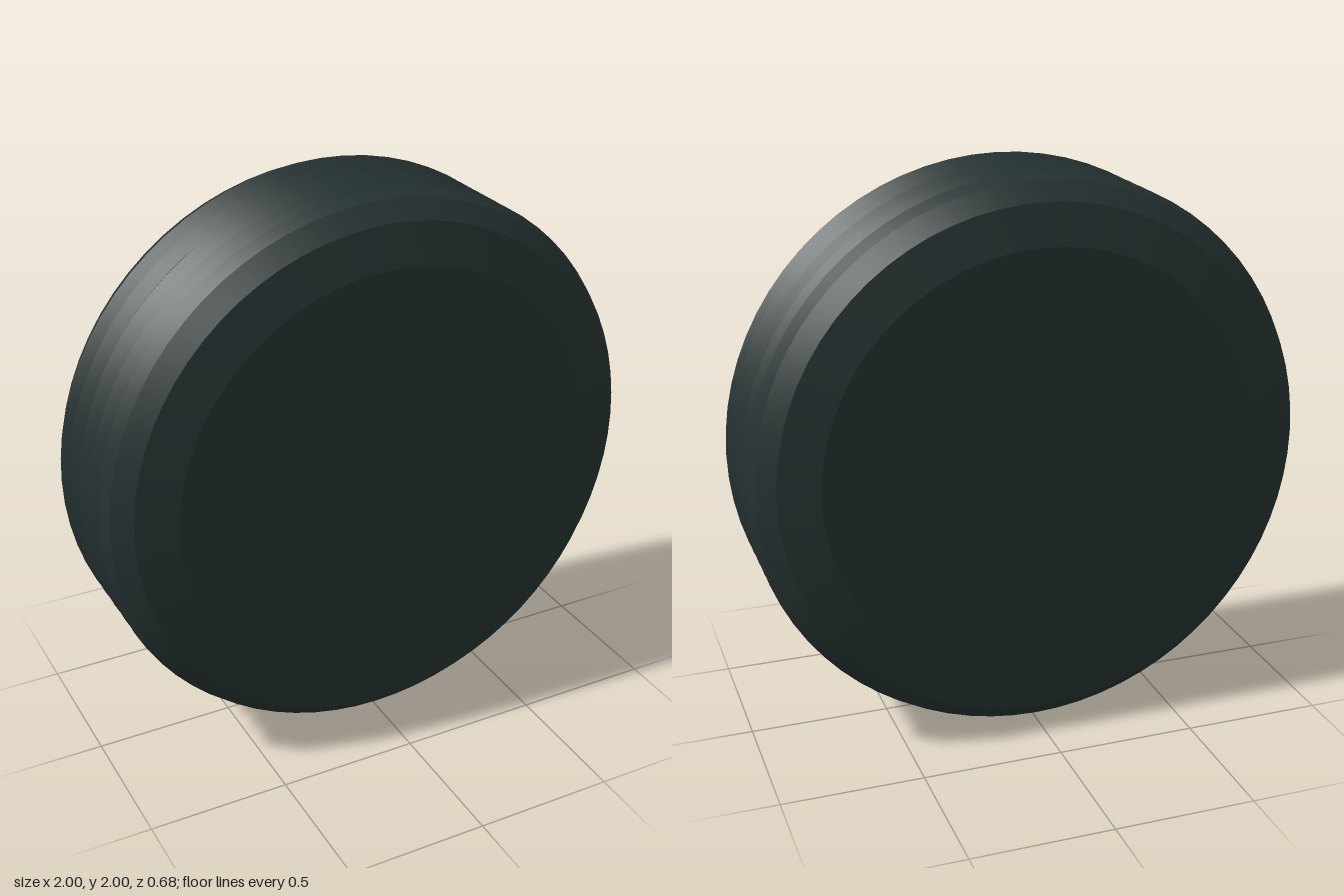
import * as THREE from 'three';
import { toCreasedNormals } from 'three/addons/utils/BufferGeometryUtils.js';

const SEGMENTS = 72;

export function createModel() {
  const rubber = new THREE.MeshStandardMaterial({ color: 0x263232 });
  rubber.name = 'dark rubber';

  const tyre = new THREE.Group();
  tyre.name = 'tyre';

  const add = (name, geometry) => {
    const mesh = new THREE.Mesh(geometry, rubber);
    mesh.name = name;
    tyre.add(mesh);
    return mesh;
  };

  // Ring spun around the z axis from [radius, z] pairs, z increasing
  const ring = (name, profile) => {
    const points = profile.map(([r, z]) => new THREE.Vector2(r, z));
    const geometry = new THREE.LatheGeometry(points, SEGMENTS).rotateX(Math.PI / 2);
    return add(name, toCreasedNormals(geometry, 0.2));
  };

  // Tread with four V-shaped grooves
  ring('tread', [
    [1, -0.19], [0.97, -0.15], [1, -0.1], [0.97, -0.055], [1, 0],
    [0.97, 0.055], [1, 0.1], [0.97, 0.15], [1, 0.19],
  ]);

  // Bevelled shoulders and flat side discs, front and back
  const shoulder = [[1, 0.19], [0.98, 0.24], [0.92, 0.3], [0.78, 0.34]];
  const back = shoulder.map(([r, z]) => [r, -z]).reverse();
  ring('frontShoulder', shoulder);
  ring('backShoulder', back);

  for (const side of [1, -1]) {
    const disc = add(side > 0 ? 'frontDisc' : 'backDisc', new THREE.CircleGeometry(0.78, SEGMENTS));
    disc.position.z = side * 0.34;
    if (side < 0) disc.rotation.y = Math.PI;
  }

  // Stand the tyre on the ground
  tyre.position.y = 1;
  const model = new THREE.Group();
  model.name = 'wheel';
  model.add(tyre);
  return model;
}
